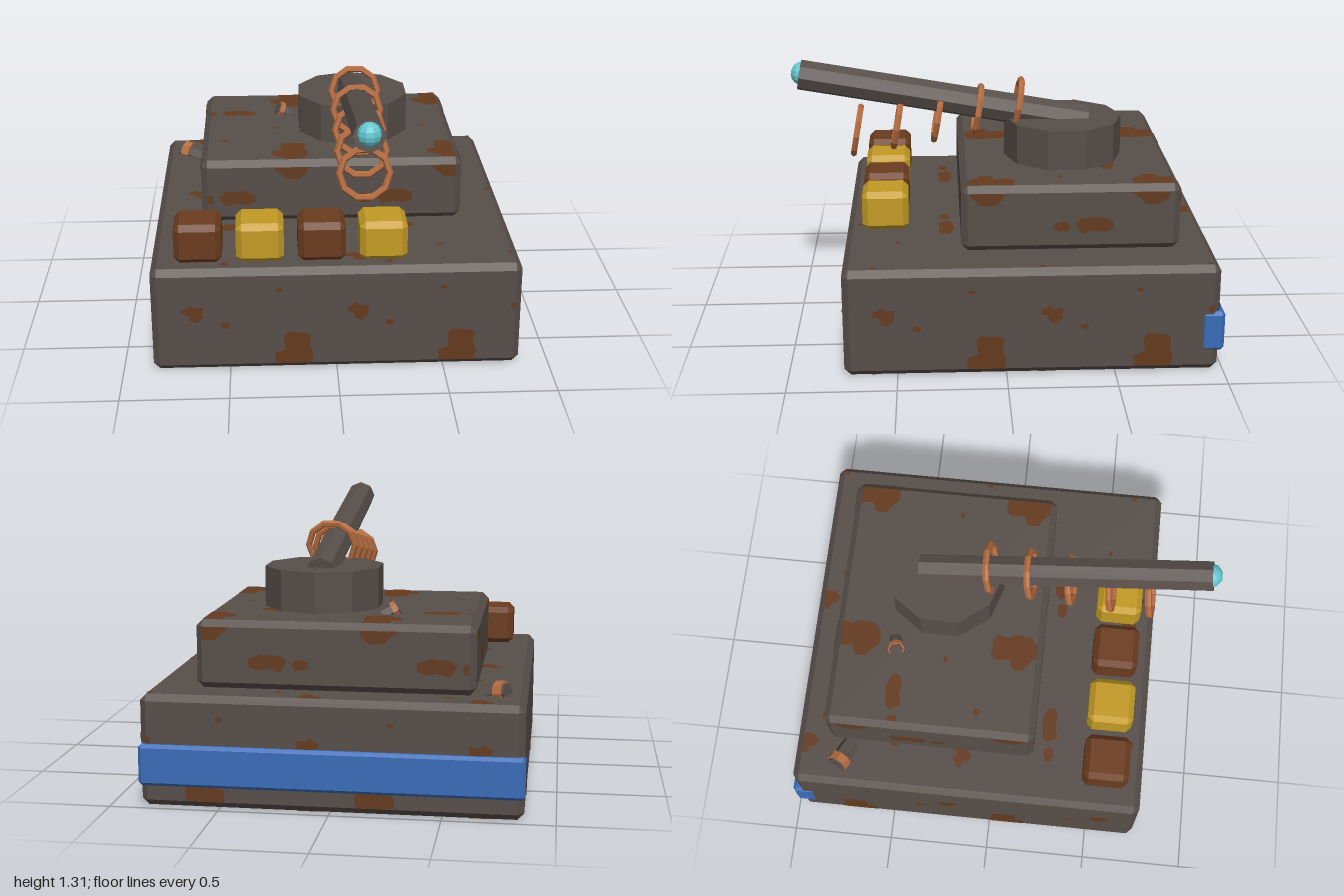
import * as THREE from 'three';
import { mergeGeometries } from 'three/addons/utils/BufferGeometryUtils.js';
import { ConvexGeometry } from 'three/addons/geometries/ConvexGeometry.js';

function material(name, color) {
  const m = new THREE.MeshStandardMaterial({ color });
  m.name = name;
  return m;
}

const mats = {
  hull: material('hullGrey', 0x574e49),
  rust: material('rust', 0x643a1e),
  copper: material('copper', 0xb56c3f),
  brown: material('crateBrown', 0x6b3c1f),
  yellow: material('crateYellow', 0xc39a24),
  blue: material('bumperBlue', 0x3a6cb8),
  glow: material('tipCyan', 0x62c6d0),
};
mats.rust.side = THREE.DoubleSide;
for (const m of Object.values(mats)) m.flatShading = true;

const TILT = -Math.PI / 18;
const PERIOD = 0.765;

function add(parent, name, geometry, mat, x = 0, y = 0, z = 0) {
  const mesh = new THREE.Mesh(geometry, mat);
  mesh.name = name;
  mesh.position.set(x, y, z);
  parent.add(mesh);
  return mesh;
}

// Box given by its limits, with every edge cut at 45 degrees
function chamferBox(parent, name, mat, [x0, x1], [y0, y1], [z0, z1], c) {
  const a = (x1 - x0) / 2, b = (y1 - y0) / 2, d = (z1 - z0) / 2;
  const points = [];
  for (const i of [-1, 1]) for (const j of [-1, 1]) for (const k of [-1, 1]) {
    points.push(
      new THREE.Vector3(i * a, j * (b - c), k * (d - c)),
      new THREE.Vector3(i * (a - c), j * b, k * (d - c)),
      new THREE.Vector3(i * (a - c), j * (b - c), k * d));
  }
  return add(parent, name, new ConvexGeometry(points), mat, (x0 + x1) / 2, (y0 + y1) / 2, (z0 + z1) / 2);
}

// Repeating rust spots: centre, then outline around it
const oval = (w, h, n = 7) => Array.from({ length: n }, (_, i) => {
  const t = (i / n) * Math.PI * 2, r = 1 + 0.12 * Math.sin(i * 2.3);
  return [Math.cos(t) * w * r / 2, Math.sin(t) * h * r / 2];
});
const SPOTS = [
  { at: [-0.67, 0.30], outline: [[-.05, .02], [-.03, .025], [-.01, .045], [.01, .025], [.05, .03], [.05, -.02], [.02, -.05], [-.01, -.04], [-.02, -.01], [-.05, 0]] },
  { at: [-0.52, 0.235], outline: oval(0.04, 0.035) },
  { at: [-0.27, 0.412], outline: oval(0.035, 0.022) },
  { at: [-0.2, 0.085], outline: [[-.05, .08], [-.03, .11], [.05, .105], [.08, .09], [.07, .04], [.09, -.01], [.08, -.08], [.04, -.11], [-.02, -.11], [-.05, -.08], [-.09, -.05], [-.09, 0], [-.04, .02]] },
  { at: [-0.46, 0.64], outline: [[-.09, .01], [-.06, .035], [.03, .04], [.085, .02], [.09, -.015], [.05, -.035], [0, -.025], [-.06, -.04]] },
  { at: [-0.61, 0.635], outline: oval(0.075, 0.055) },
];

// Scatter the spots over one flat face; place() turns face coordinates into a 3D point
function rustFace(parent, name, [u0, u1], [v0, v1], place, covered = () => false) {
  const parts = [];
  const clamp = THREE.MathUtils.clamp;
  for (const { at, outline } of SPOTS) {
    for (let i = -3; i <= 3; i++) for (let j = -3; j <= 3; j++) {
      const cu = at[0] + i * PERIOD, cv = at[1] + j * PERIOD;
      if (covered(cu, cv)) continue;
      const pts = outline.map(([u, v]) =>
        new THREE.Vector2(clamp(cu + u, u0, u1), clamp(cv + v, v0, v1)));
      if (Math.abs(THREE.ShapeUtils.area(pts)) < 1e-4) continue;
      const g = new THREE.ShapeGeometry(new THREE.Shape(pts));
      const p = g.attributes.position;
      for (let k = 0; k < p.count; k++) p.setXYZ(k, ...place(p.getX(k), p.getY(k)));
      g.computeVertexNormals();
      parts.push(g);
    }
  }
  if (parts.length) add(parent, name, mergeGeometries(parts), mats.rust);
}

// Rust on all faces of a block
function rustBlock(parent, name, [x0, x1], [y0, y1], [z0, z1], c, covered, bottom) {
  const e = 0.002, X = [x0 + c, x1 - c], Y = [y0 + c, y1 - c];
  const side = [-(z1 - c) - 0.11, -(z0 + c) - 0.11];
  const flat = [0.145 - (z1 - c), 0.145 - (z0 + c)];
  rustFace(parent, name + 'FrontRust', X, Y, (u, v) => [u, v, z1 + e]);
  rustFace(parent, name + 'BackRust', X, Y, (u, v) => [u, v, z0 - e]);
  rustFace(parent, name + 'LeftRust', side, Y, (u, v) => [x1 + e, v, -u - 0.11]);
  rustFace(parent, name + 'RightRust', side, Y, (u, v) => [x0 - e, v, -u - 0.11]);
  rustFace(parent, name + 'TopRust', X, flat, (u, v) => [u, y1 + e, 0.145 - v],
    (u, v) => covered(u, 0.145 - v));
  if (bottom) rustFace(parent, name + 'BottomRust', X, flat, (u, v) => [u, y0 - e, 0.145 - v]);
}

// Small half-sunk stub with a copper band
function stub(parent, name, x, y, z, radius, length, turn, lean) {
  const g = new THREE.Group();
  g.name = name;
  const shaft = add(g, 'stubShaft', new THREE.CylinderGeometry(radius, radius, length, 6), mats.hull);
  const band = add(g, 'stubBand', new THREE.CylinderGeometry(radius * 1.2, radius * 1.2, length * 0.3, 8), mats.copper, -length * 0.28);
  shaft.rotation.z = band.rotation.z = Math.PI / 2;
  g.position.set(x, y, z);
  g.rotation.set(0, turn, lean);
  parent.add(g);
}

export function createModel() {
  const model = new THREE.Group();
  model.name = 'cannonPlatform';

  // Two stacked blocks
  const base = [[-0.86, 0.86], [0, 0.515], [-0.975, 0.745]];
  const deck = [[-0.635, 0.635], [0.515, 0.83], [-0.815, 0.2]];
  chamferBox(model, 'base', mats.hull, ...base, 0.03);
  chamferBox(model, 'upperDeck', mats.hull, ...deck, 0.03);
  rustBlock(model, 'base', ...base, 0.03, (x, z) => Math.abs(x) < 0.6 && z > -0.78 && z < 0.17, true);
  rustBlock(model, 'deck', ...deck, 0.03, (x, z) => Math.hypot(x - 0.125, z + 0.305) < 0.2, false);

  // Rear bumper
  chamferBox(model, 'rearBumper', mats.blue, [-0.865, 0.865], [0.1, 0.29], [-1, -0.893], 0.015);

  // Row of crates
  [-0.64, -0.353, -0.066, 0.22].forEach((x, i) => chamferBox(model, 'crate' + (i + 1),
    i % 2 ? mats.yellow : mats.brown, [x - 0.111, x + 0.111], [0.512, 0.703], [0.448, 0.67], 0.027));

  // Ten-sided turret
  add(model, 'turret', new THREE.CylinderGeometry(0.285, 0.285, 0.195, 10), mats.hull, 0.125, 0.925, -0.305);

  // Tilted barrel with its tip
  const barrel = add(model, 'barrel', new THREE.CylinderGeometry(0.074, 0.074, 1.4, 8), mats.hull, 0.125, 1.118, 0.268);
  barrel.rotation.x = Math.PI / 2 + TILT;
  add(model, 'barrelTip', new THREE.SphereGeometry(0.057, 10, 8), mats.glow, 0.125, 1.245, 0.943);

  // Five copper rings, stepping down towards the front
  for (let i = 0; i < 5; i++) {
    const ring = add(model, 'coilRing' + (i + 1), new THREE.TorusGeometry(0.114, 0.016, 6, 10),
      mats.copper, 0.125, 0.96 + 0.032 * i, 0.69 - 0.194 * i);
    ring.rotation.x = TILT;
  }

  // Loose stubs
  stub(model, 'baseStub', -0.71, 0.52, -0.735, 0.045, 0.14, -0.45, -0.15);
  stub(model, 'deckStub', -0.22, 0.835, -0.515, 0.035, 0.08, 0.2, -0.5);

  return model;
}
